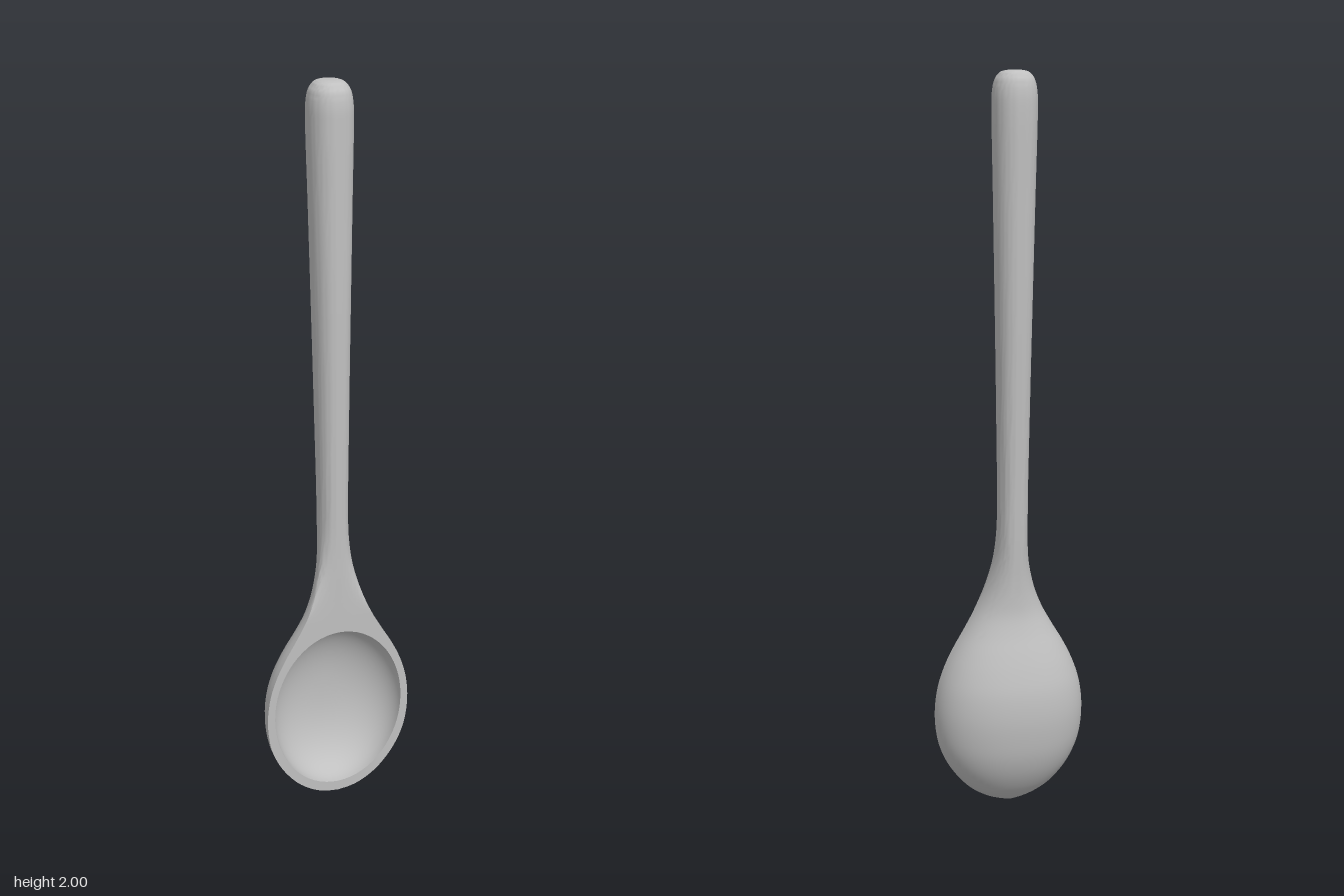
import * as THREE from 'three';
import { toCreasedNormals } from 'three/addons/utils/BufferGeometryUtils.js';

const FRONT = 0.077; // z of the flat rim
const NECK = 0.55; // above this height the front becomes rounded
const lerp = THREE.MathUtils.lerp;

// Control points: half width, height, z of the back
const KEYS = [
  [0, 0, 0.05], [0.04, 0.005, 0.042], [0.079, 0.02, 0.022], [0.122, 0.05, -0.008], [0.164, 0.1, -0.04],
  [0.19, 0.15, -0.06], [0.204, 0.2, -0.071], [0.209, 0.27, -0.078], [0.2, 0.34, -0.074], [0.18, 0.4, -0.06],
  [0.155, 0.45, -0.044], [0.125, 0.5, -0.026], [0.097, NECK, -0.013], [0.075, 0.6, -0.01], [0.059, 0.65, -0.011],
  [0.048, 0.7, -0.014], [0.042, 0.76, -0.018], [0.04, 0.85, -0.022], [0.043, 1.1, -0.033], [0.048, 1.4, -0.045],
  [0.054, 1.7, -0.054], [0.058, 1.9, -0.06], [0.057, 1.945, -0.058], [0.051, 1.975, -0.051],
  [0.038, 1.993, -0.037], [0.02, 1.999, -0.017], [0, 2, 0.006],
];

// Superellipse arc point; s is +1 for the front half, -1 for the back half
function arcPoint(row, angle, s) {
  const e = 2 / 2.2, c = Math.cos(angle), depth = s > 0 ? row.f - row.m : row.m - row.b;
  return [row.w * Math.sign(c) * Math.abs(c) ** e, row.y, row.m + s * depth * Math.abs(Math.sin(angle)) ** e];
}

// Joins a grid of points (rows x columns) into a surface with creased normals
function gridSurface(grids) {
  const pos = [], index = [];
  for (const grid of grids) {
    const base = pos.length / 3, n = grid[0].length;
    grid.forEach((r) => r.forEach((p) => pos.push(...p)));
    for (let j = 0; j < grid.length - 1; j++) {
      for (let i = 0; i < n - 1; i++) {
        const a = base + j * n + i;
        index.push(a, a + 1, a + n + 1, a, a + n + 1, a + n);
      }
    }
  }
  const g = new THREE.BufferGeometry();
  g.setAttribute('position', new THREE.Float32BufferAttribute(pos, 3));
  g.setIndex(index);
  return toCreasedNormals(g, 0.8);
}

export function createModel() {
  const group = new THREE.Group();
  const grey = new THREE.MeshStandardMaterial({ color: 0xc0c0c0 });
  grey.name = 'plain grey';
  const add = (name, geometry) => {
    const mesh = new THREE.Mesh(geometry, grey);
    mesh.name = name;
    group.add(mesh);
  };

  // Cross-sections along the height
  const curve = new THREE.CatmullRomCurve3(KEYS.map((k) => new THREE.Vector3(...k)));
  const rows = curve.getPoints((KEYS.length - 1) * 4).map((p) => {
    const w = Math.max(0, p.x), y = THREE.MathUtils.clamp(p.y, 0, 2), b = p.z;
    const mid = lerp(0.0275, 0.006, THREE.MathUtils.clamp((y - 0.85) / 1.05, 0, 1));
    const f = y < 0.85 ? FRONT : Math.min(FRONT, 2 * mid - b);
    return { w, y, b, f, m: lerp(FRONT, mid, THREE.MathUtils.smoothstep(y, NECK, 0.85)) };
  });

  // Spoon body: back all the way up, rounded front above the neck
  const N = 28;
  const half = (list, s) => list.map((row) => Array.from({ length: N + 1 }, (_, i) =>
    arcPoint(row, s < 0 ? (Math.PI * i) / N : Math.PI * (1 - i / N), s)));
  const upper = rows.filter((r) => r.y > NECK - 1e-5);
  add('spoonBody', gridSurface([half(rows, -1), half(upper, 1)]));

  // Flat rim around the bowl opening
  const lower = rows.filter((r) => r.y < NECK + 1e-5);
  const outline = [
    ...lower.map((r) => new THREE.Vector2(r.w, r.y)),
    ...lower.slice(1).reverse().map((r) => new THREE.Vector2(-r.w, r.y)),
  ];
  const M = 64, rx = 0.188, ry = 0.238, cy = 0.267;
  const rim = new THREE.Shape(outline);
  rim.holes.push(new THREE.Path(Array.from({ length: M }, (_, i) => {
    const a = (-i / M) * Math.PI * 2;
    return new THREE.Vector2(rx * Math.cos(a), cy + ry * Math.sin(a));
  })));
  add('bowlRim', new THREE.ShapeGeometry(rim).translate(0, 0, FRONT));

  // Hollow of the bowl, from the rim inwards to the floor
  const hollow = [];
  for (let j = 0; j <= 18; j++) {
    const t = Math.cos((j / 18) * Math.PI / 2);
    const z = FRONT - 0.122 * Math.sqrt(Math.max(0, 1 - t ** 2.3));
    hollow.push(Array.from({ length: M + 1 }, (_, i) => {
      const a = (i / M) * Math.PI * 2;
      return [rx * t * Math.cos(a), cy + ry * t * Math.sin(a), z];
    }));
  }
  add('bowlHollow', gridSurface([hollow]));
  return group;
}
